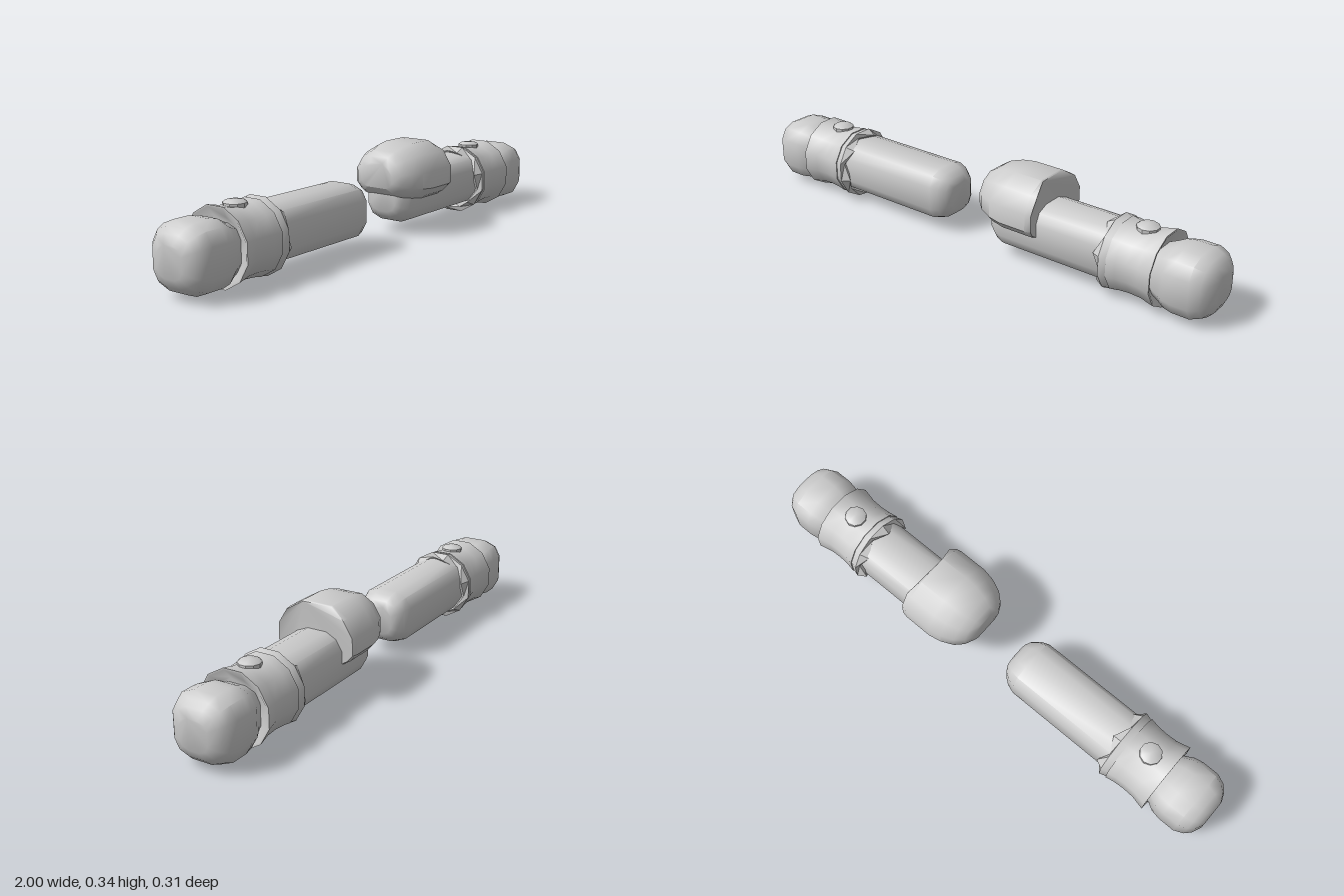
import * as THREE from 'three';
import { toCreasedNormals } from 'three/addons/utils/BufferGeometryUtils.js';

// Mirror half a [z, y] cross-section (top to bottom) into a closed loop.
const mirrored = (half) => [...half, ...half.slice().reverse().map(([z, y]) => [-z, y])];

const dodecagon = Array.from({ length: 12 }, (_, i) => {
  const a = ((i + 0.5) * Math.PI) / 6;
  return [Math.sin(a), Math.cos(a)];
});
const softSquare = mirrored([[0.37, 0.98], [0.79, 0.81], [1, 0.44], [1, -0.44], [0.79, -0.81], [0.37, -0.98]]);
const capSection = mirrored([[0.06, 0.11], [0.12, 0.075], [0.157, 0.015], [0.157, -0.05], [0.13, -0.08], [0.1, -0.098]]);

// Skin a section along x; stations are [x, scale], and shift(row, point, y) nudges x.
function loft(section, stations, centreY, shift = () => 0, crease = 0.72) {
  const n = section.length, pos = [], idx = [];
  stations.forEach(([x, s], i) => section.forEach(([z, y], j) =>
    pos.push(x + shift(i, j, y), centreY + y * s, z * s)));
  for (let i = 0; i < stations.length - 1; i++) {
    for (let j = 0; j < n; j++) {
      const a = i * n + j, b = i * n + (j + 1) % n;
      idx.push(a, b, a + n, b, b + n, a + n);
    }
  }
  const last = (stations.length - 1) * n;
  for (let j = 1; j < n - 1; j++) {
    idx.push(0, j + 1, j);
    idx.push(last, last + j, last + j + 1);
  }
  const g = new THREE.BufferGeometry();
  g.setAttribute('position', new THREE.Float32BufferAttribute(pos, 3));
  g.setIndex(idx);
  return toCreasedNormals(g, crease);
}

export function createModel() {
  const grey = new THREE.MeshStandardMaterial({ color: 0xcccccc });
  grey.name = 'light grey';
  const model = new THREE.Group();
  model.name = 'armPair';

  const add = (parent, name, geometry) => {
    const mesh = new THREE.Mesh(geometry, grey);
    mesh.name = name;
    parent.add(mesh);
    return mesh;
  };

  // Rounded shaft, toothed collar, flared cuff and fist, built along +x
  const shaft = loft(softSquare,
    [[0.095, 0.055], [0.108, 0.076], [0.133, 0.094], [0.165, 0.104], [0.66, 0.104]], 0.141);
  const collar = loft(dodecagon,
    [[0.605, 0.09], [0.567, 0.12], [0.6, 0.139], [0.63, 0.13], [0.63, 0.1]], 0.135,
    (i, j) => (i === 1 && j % 2 ? 0.028 : 0), 0.55);
  const cuff = loft(dodecagon,
    [[0.627, 0.1], [0.627, 0.135], [0.66, 0.129], [0.7, 0.126], [0.745, 0.128], [0.797, 0.14],
      [0.797, 0.133], [0.775, 0.1]], 0.135);
  const fist = loft(softSquare,
    [[0.77, 0.085], [0.805, 0.1], [0.83, 0.113], [0.865, 0.119], [0.93, 0.119],
      [0.965, 0.105], [0.985, 0.086], [1, 0.055]], 0.13);

  // Low domed button on top of the cuff
  const button = toCreasedNormals(new THREE.LatheGeometry(
    [[0.041, -0.02], [0.041, 0.012], [0.033, 0.018], [0, 0.022]].map(([r, y]) => new THREE.Vector2(r, y)), 10), 0.6);

  for (const side of ['left', 'right']) {
    const arm = new THREE.Group();
    arm.name = side + 'Arm';
    add(arm, 'shaft', shaft);
    add(arm, 'collar', collar);
    add(arm, 'cuff', cuff);
    add(arm, 'fist', fist);
    add(arm, 'button', button).position.set(0.707, 0.255, 0);
    // Bulging cap over the inner end of the left arm only
    if (side === 'left') {
      add(arm, 'endCap', loft(capSection,
        [[0.055, 0.45], [0.072, 0.64], [0.102, 0.81], [0.15, 0.94], [0.2, 1], [0.312, 1], [0.335, 0.97]], 0.23,
        (i, j, y) => (i === 6 ? (y > 0.1 ? -0.018 : y < -0.07 ? -0.01 : 0) : 0)));
    } else {
      arm.rotation.y = Math.PI;
    }
    model.add(arm);
  }
  return model;
}
